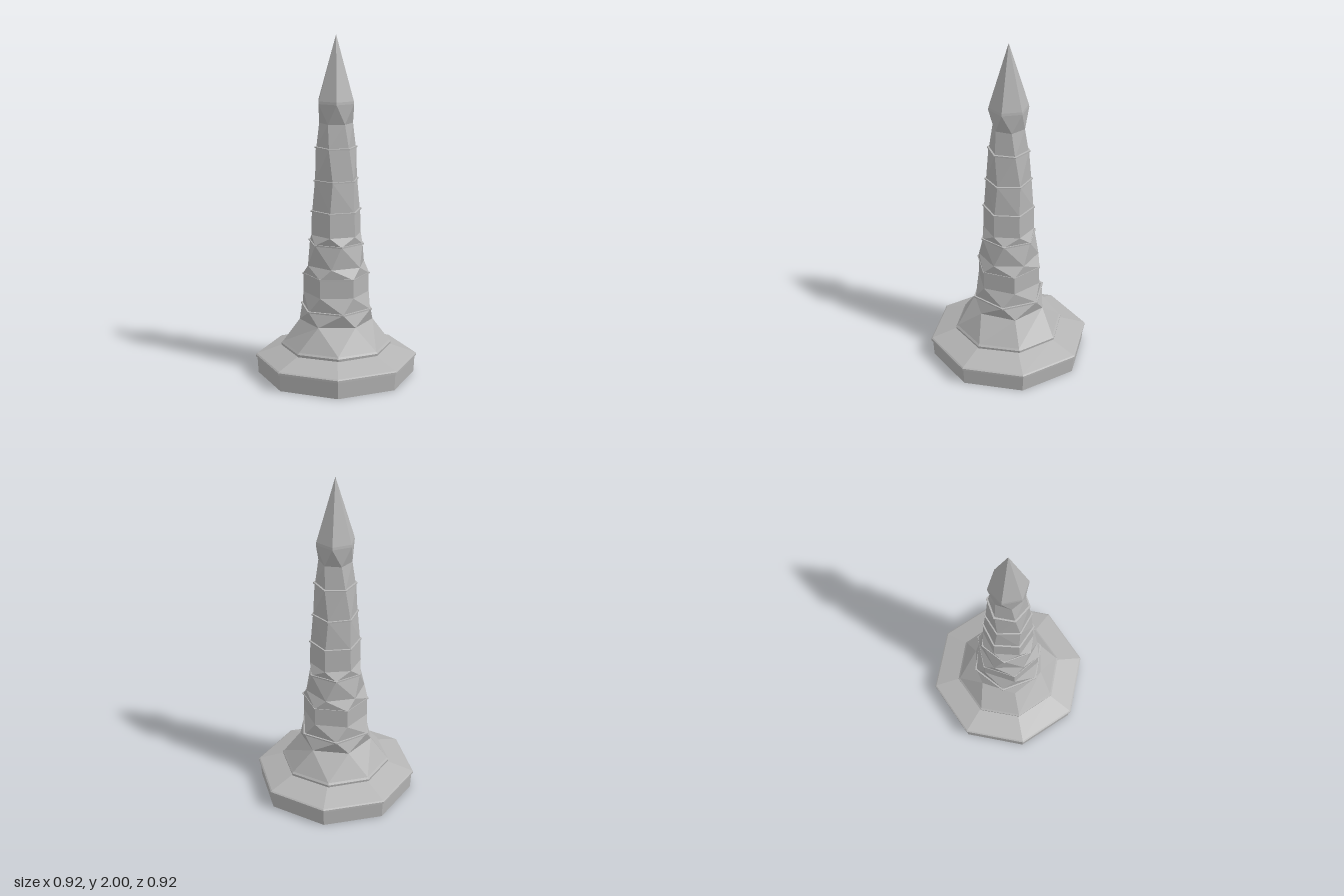
import * as THREE from 'three';

// Joins a stack of polygon rings [sides, radius, y, degrees] with flat facets;
// neighbouring rings may differ in twist and in number of sides.
function stack(name, rings, material, capBottom = false) {
  const pos = [];
  const point = ([n, r, y, deg], i) => {
    const a = THREE.MathUtils.degToRad(deg + i * 360 / n);
    return [r * Math.cos(a), y, r * Math.sin(a)];
  };
  const angle = (ring, i) => ring[3] + i * 360 / ring[0];
  const tri = (a, b, c) => pos.push(...a, ...b, ...c);

  for (let k = 0; k + 1 < rings.length; k++) {
    const lo = rings[k], hi = rings[k + 1];
    // start the upper ring at the corner nearest the lower ring's first corner
    const start = Math.round((lo[3] - hi[3]) * hi[0] / 360);
    let i = 0, j = 0;
    while (i < lo[0] || j < hi[0]) {
      const a = point(lo, i), c = point(hi, start + j);
      const nextLo = angle(lo, i + 1), nextHi = angle(hi, start + j + 1);
      if (j >= hi[0] || (i < lo[0] && nextLo <= nextHi)) {
        tri(a, c, point(lo, ++i));
      } else {
        tri(a, c, point(hi, start + ++j));
      }
    }
  }
  if (capBottom) {
    const r = rings[0];
    for (let i = 0; i < r[0]; i++) tri([0, r[2], 0], point(r, i), point(r, i + 1));
  }
  const geometry = new THREE.BufferGeometry();
  geometry.setAttribute('position', new THREE.Float32BufferAttribute(pos, 3));
  geometry.computeVertexNormals();
  const mesh = new THREE.Mesh(geometry, material);
  mesh.name = name;
  return mesh;
}

export function createModel() {
  const stone = new THREE.MeshStandardMaterial({ color: 0xb4b4b4 });
  stone.name = 'grey stone';
  const group = new THREE.Group();
  group.name = 'spire';

  // Octagonal plinth with a thin overhanging lip and sloping top
  group.add(stack('plinth', [
    [8, 0.462, 0, -15], [8, 0.468, 0.098, -15], [8, 0.478, 0.1, -15],
    [8, 0.478, 0.112, -15], [8, 0.47, 0.118, -15], [8, 0.32, 0.172, -15],
  ], stone, true));

  // Flared foot changing from eight sides to six
  group.add(stack('foot', [
    [8, 0.322, 0.165, -16], [8, 0.325, 0.185, -16], [8, 0.315, 0.195, -16],
    [6, 0.215, 0.33, 30],
  ], stone));

  // Shaft blocks: each is a few twisted hexagons
  const blocks = [
    [[6, 0.215, 0.33, 30], [6, 0.213, 0.41, 50]],
    [[6, 0.21, 0.41, 50], [6, 0.192, 0.5, 30], [6, 0.19, 0.61, 30]],
    [[6, 0.194, 0.61, 30], [6, 0.176, 0.67, 10], [6, 0.162, 0.8, -10]],
    [[6, 0.162, 0.8, -10], [6, 0.15, 0.85, 15], [6, 0.146, 0.99, 15]],
    [[6, 0.144, 0.99, 15], [6, 0.131, 1.17, 10]],
    [[6, 0.13, 1.17, 10], [6, 0.118, 1.36, 22]],
    [[6, 0.115, 1.36, 22], [6, 0.097, 1.5, 30]],
  ];
  blocks.forEach((rings, i) => {
    group.add(stack(`shaftBlock${i + 1}`, rings, stone));
    if (i === blocks.length - 1) return;
    // thin rim around the joint
    const [n, r, y, a] = rings[rings.length - 1];
    group.add(stack(`rim${i + 1}`, [
      [n, r - 0.01, y - 0.006, a], [n, r + 0.008, y - 0.004, a],
      [n, r + 0.008, y + 0.004, a], [n, r - 0.02, y + 0.007, a],
    ], stone));
  });

  // Pinched neck and pointed tip
  group.add(stack('tip', [
    [6, 0.097, 1.5, 30], [6, 0.117, 1.615, 0], [6, 0.115, 1.63, 0], [6, 0.001, 2, 0],
  ], stone));
  return group;
}
